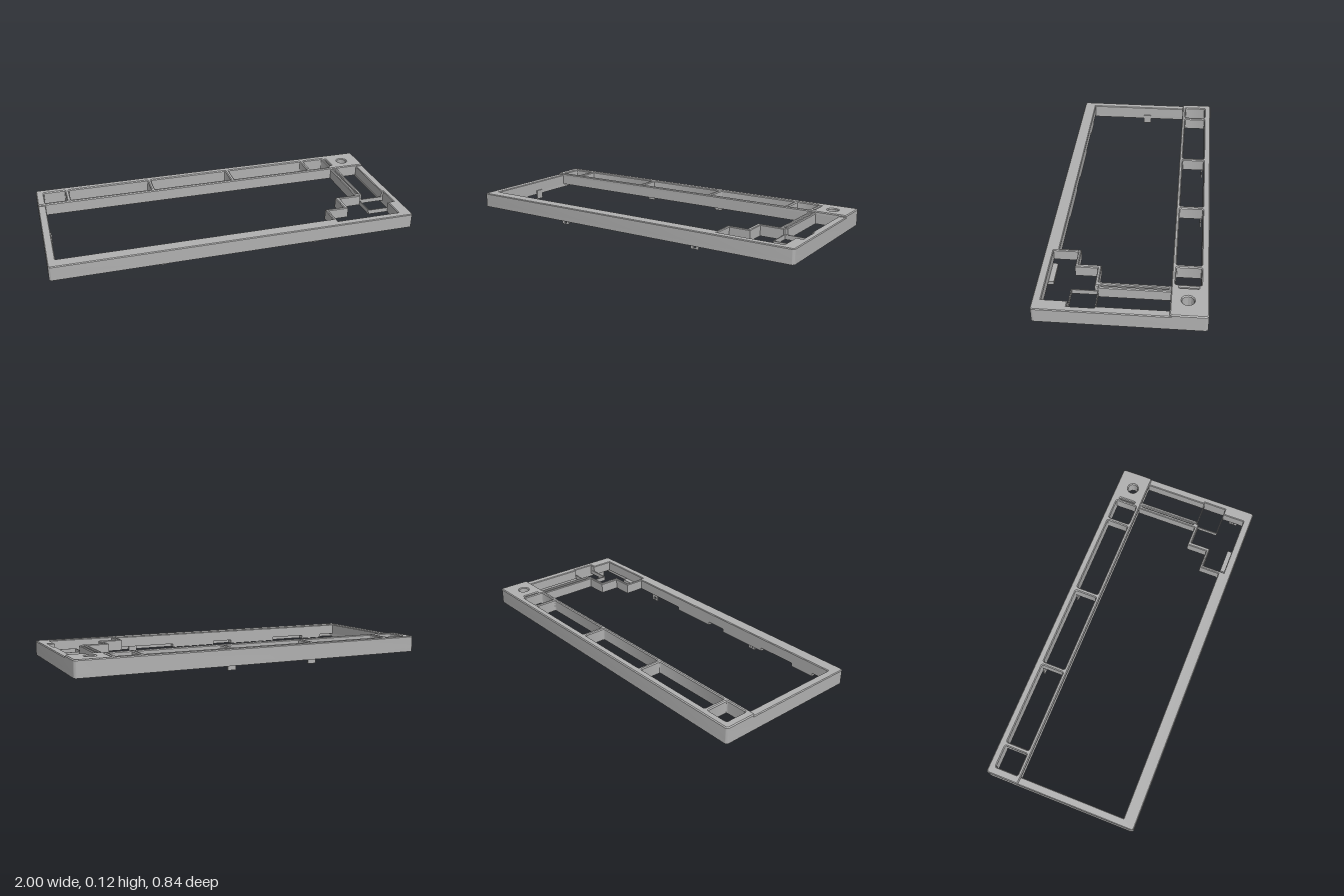
import * as THREE from 'three';
import { toCreasedNormals } from 'three/addons/utils/BufferGeometryUtils.js';

// Rounded rectangle in plan, drawn in (x, -z)
function roundRect(target, x0, x1, z0, z1, r) {
  const a = -z1, b = -z0;
  target.moveTo(x0 + r, a);
  target.lineTo(x1 - r, a);
  target.absarc(x1 - r, a + r, r, -Math.PI / 2, 0, false);
  target.lineTo(x1, b - r);
  target.absarc(x1 - r, b - r, r, 0, Math.PI / 2, false);
  target.lineTo(x0 + r, b);
  target.absarc(x0 + r, b - r, r, Math.PI / 2, Math.PI, false);
  target.lineTo(x0, a + r);
  target.absarc(x0 + r, a + r, r, Math.PI, Math.PI * 1.5, false);
  return target;
}
const rectHole = (x0, x1, z0, z1, r = 0.008) => roundRect(new THREE.Path(), x0, x1, z0, z1, r);
const polyHole = (pts) => new THREE.Path(pts.map(([x, z]) => new THREE.Vector2(x, -z)));
const knobHole = () => new THREE.Path().absarc(0.893, 0.32, 0.03, 0, Math.PI * 2, false);

// Plate between two heights; only its top edges are chamfered
function plate(outline, holes, y0, y1, chamfer) {
  outline.holes = holes;
  const geo = new THREE.ExtrudeGeometry(outline, {
    depth: y1 - y0 - chamfer, curveSegments: 6, bevelEnabled: chamfer > 0,
    bevelThickness: chamfer, bevelSize: chamfer, bevelOffset: -chamfer, bevelSegments: 1,
  });
  geo.rotateX(-Math.PI / 2);
  geo.translate(0, y0, 0);
  const p = geo.attributes.position;
  for (let i = 0; i < p.count; i++) p.setY(i, Math.max(p.getY(i), y0));
  return toCreasedNormals(geo, 0.5);
}

export function createModel() {
  const group = new THREE.Group();
  const grey = new THREE.MeshStandardMaterial({ color: 0xb0b0b0 });
  grey.name = 'case grey';

  const add = (name, geo, x = 0, y = 0, z = 0) => {
    const mesh = new THREE.Mesh(geo, grey);
    mesh.name = name;
    mesh.position.set(x, y, z);
    group.add(mesh);
    return mesh;
  };
  const box = (name, x0, x1, y0, y1, z0, z1) => add(name,
    new THREE.BoxGeometry(x1 - x0, y1 - y0, z1 - z0), (x0 + x1) / 2, (y0 + y1) / 2, (z0 + z1) / 2);

  // Back row of windows, narrow slit and knob hole
  const backHoles = () => [
    [-0.957, -0.834], [-0.812, -0.342], [-0.322, 0.144], [0.166, 0.638], [0.658, 0.784],
  ].map(([a, b]) => rectHole(a, b, -0.382, -0.256))
    .concat([rectHole(0.8, 0.808, -0.37, -0.275, 0.003), knobHole()]);

  // Main key opening with its stepped corner
  const mainOpening = polyHole([
    [-0.957, -0.238], [0.786, -0.238], [0.786, 0.118], [0.663, 0.118],
    [0.663, 0.235], [0.551, 0.235], [0.551, 0.35], [-0.957, 0.35],
  ]);
  // Side column joined to the arrow cluster
  const sideOpening = polyHole([
    [0.829, -0.238], [0.957, -0.238], [0.957, 0.118], [0.967, 0.118], [0.967, 0.25],
    [0.93, 0.25], [0.93, 0.378], [0.567, 0.378], [0.567, 0.25], [0.684, 0.25],
    [0.684, 0.135], [0.813, 0.135], [0.813, 0.118], [0.829, 0.118],
  ]);
  const slot = rectHole(0.803, 0.812, -0.225, 0.105, 0.003);

  const outer = () => roundRect(new THREE.Shape(), -1, 1, -0.42, 0.42, 0.016);

  // Frame top, bottom rim and raised back strip
  add('frame', plate(outer(), [mainOpening, sideOpening, slot, ...backHoles()], 0.05, 0.11, 0.004));
  add('bottomRim', plate(outer(), [rectHole(-0.957, 0.967, -0.382, 0.385)], 0.03, 0.05, 0));
  add('raisedBackStrip', plate(
    roundRect(new THREE.Shape(), -1, 1, -0.42, -0.236, 0.016), backHoles(), 0.102, 0.12, 0.005));

  // Thin ribs bordering the upper arrow key
  box('arrowRib', 0.813, 0.967, 0.05, 0.075, 0.116, 0.121);
  box('arrowRib', 0.811, 0.816, 0.05, 0.075, 0.118, 0.25);
  box('arrowRib', 0.813, 0.967, 0.05, 0.075, 0.248, 0.253);

  // Blocks under the front lip
  for (const [a, b] of [[-0.86, -0.72], [-0.5, -0.2], [-0.08, 0.19], [0.6, 0.74]]) {
    box('lipBlock', a, b, 0.03, 0.05, 0.351, 0.387);
  }

  // Clips hanging below the rim; some have a round hole
  const clip = (x, z, sideways, holed) => {
    const shape = new THREE.Shape();
    const w = 0.0235;
    shape.moveTo(-w, 0).lineTo(w, 0).lineTo(w, 0.054).lineTo(-w, 0.054).closePath();
    if (holed) shape.holes = [new THREE.Path().absarc(0, 0.015, 0.009, 0, Math.PI * 2, false)];
    const geo = new THREE.ExtrudeGeometry(shape, { depth: 0.008, bevelEnabled: false, curveSegments: 8 });
    geo.translate(0, 0, -0.004);
    if (sideways) geo.rotateY(Math.PI / 2);
    add('clip', geo, x, 0, z);
  };
  clip(-0.41, 0.376, false, true);
  clip(0.44, 0.376, false, true);
  clip(-0.335, -0.373, false, false);
  clip(0.155, -0.373, false, false);
  clip(-0.954, 0, true, false);
  clip(0.95, 0.318, true, true);

  return group;
}
